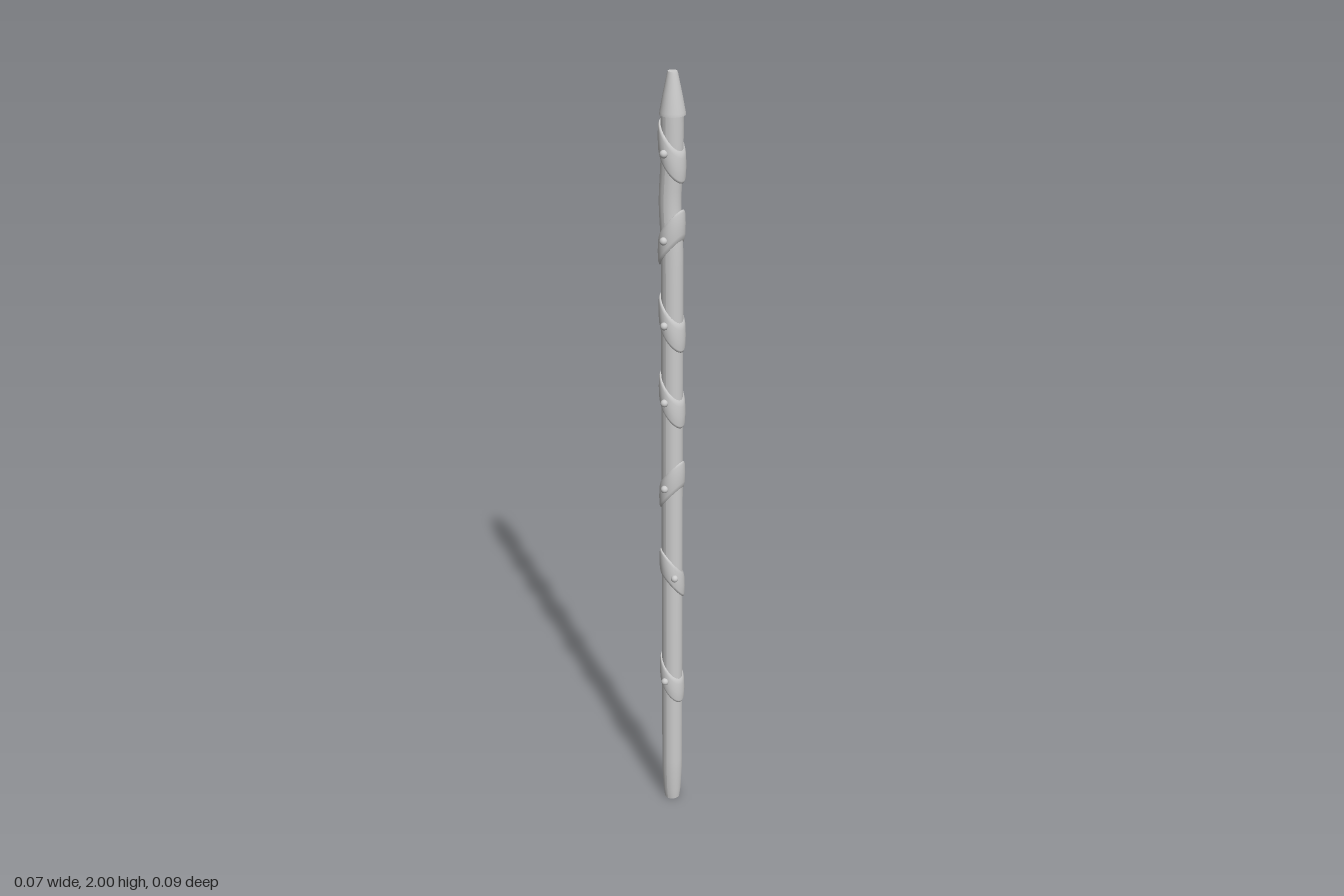
import * as THREE from 'three';

const material = new THREE.MeshStandardMaterial({ color: 0xcccccc, roughness: 0.8 });

// Slight natural bow of the shaft along its height
const bow = (y) => -0.001 - 0.006 * Math.exp(-(((y - 1.7) / 0.07) ** 2));

function lathe(points, segments) {
  return new THREE.LatheGeometry(points.map(([r, y]) => new THREE.Vector2(r, y)), segments);
}

function addMesh(parent, name, geometry) {
  const mesh = new THREE.Mesh(geometry, material);
  mesh.name = name;
  parent.add(mesh);
  return mesh;
}

// Long shaft, tapered at the foot and gently bowed near the top
function shaftGeometry() {
  const profile = [[0, 0], [0.02, 0], [0.02, 0], [0.0235, 0.03], [0.027, 0.1]];
  for (let i = 1; i <= 60; i++) {
    const y = 0.1 + i * 0.0302;
    profile.push([0.027 - 0.001 * (y / 2), y]);
  }
  const geometry = lathe(profile, 24);
  const pos = geometry.attributes.position;
  for (let i = 0; i < pos.count; i++) pos.setX(i, pos.getX(i) + bow(pos.getY(i)));
  geometry.computeVertexNormals();
  return geometry;
}

// Slanted collar: a rounded ring sheared so that local -x is high
function bandGeometry() {
  const geometry = lathe([
    [0.024, -0.037], [0.029, -0.035], [0.0315, -0.026], [0.0325, 0],
    [0.0315, 0.026], [0.029, 0.035], [0.024, 0.037],
  ], 32);
  const pos = geometry.attributes.position;
  for (let i = 0; i < pos.count; i++) pos.setY(i, pos.getY(i) - 1.25 * pos.getX(i));
  geometry.computeVertexNormals();
  return geometry;
}

export function createModel() {
  const model = new THREE.Group();
  model.name = 'staff';

  addMesh(model, 'shaft', shaftGeometry());

  // Tapered cap with a small flat end
  addMesh(model, 'tip', lathe([
    [0, 1.903], [0.03, 1.903], [0.03, 1.903], [0.0295, 1.91],
    [0.022, 1.95], [0.0125, 1.995], [0.011, 2], [0.011, 2], [0, 2],
  ], 24));

  // Collars: height and turn about the shaft, each with a stud on both sides
  const band = bandGeometry();
  const stud = new THREE.SphereGeometry(0.0095, 14, 10);
  const bands = [
    [0.395, 0], [0.715, Math.PI / 4], [0.97, Math.PI], [1.205, 0],
    [1.405, 0], [1.615, Math.PI], [1.82, 0],
  ];
  for (const [y, turn] of bands) {
    const collar = new THREE.Group();
    collar.name = 'collar';
    collar.position.set(bow(y), y, 0);
    collar.rotation.y = turn;
    addMesh(collar, 'slantedBand', band);
    for (const side of [-1, 1]) {
      addMesh(collar, 'stud', stud).position.set(0, 0, side * 0.0335);
    }
    model.add(collar);
  }
  return model;
}
